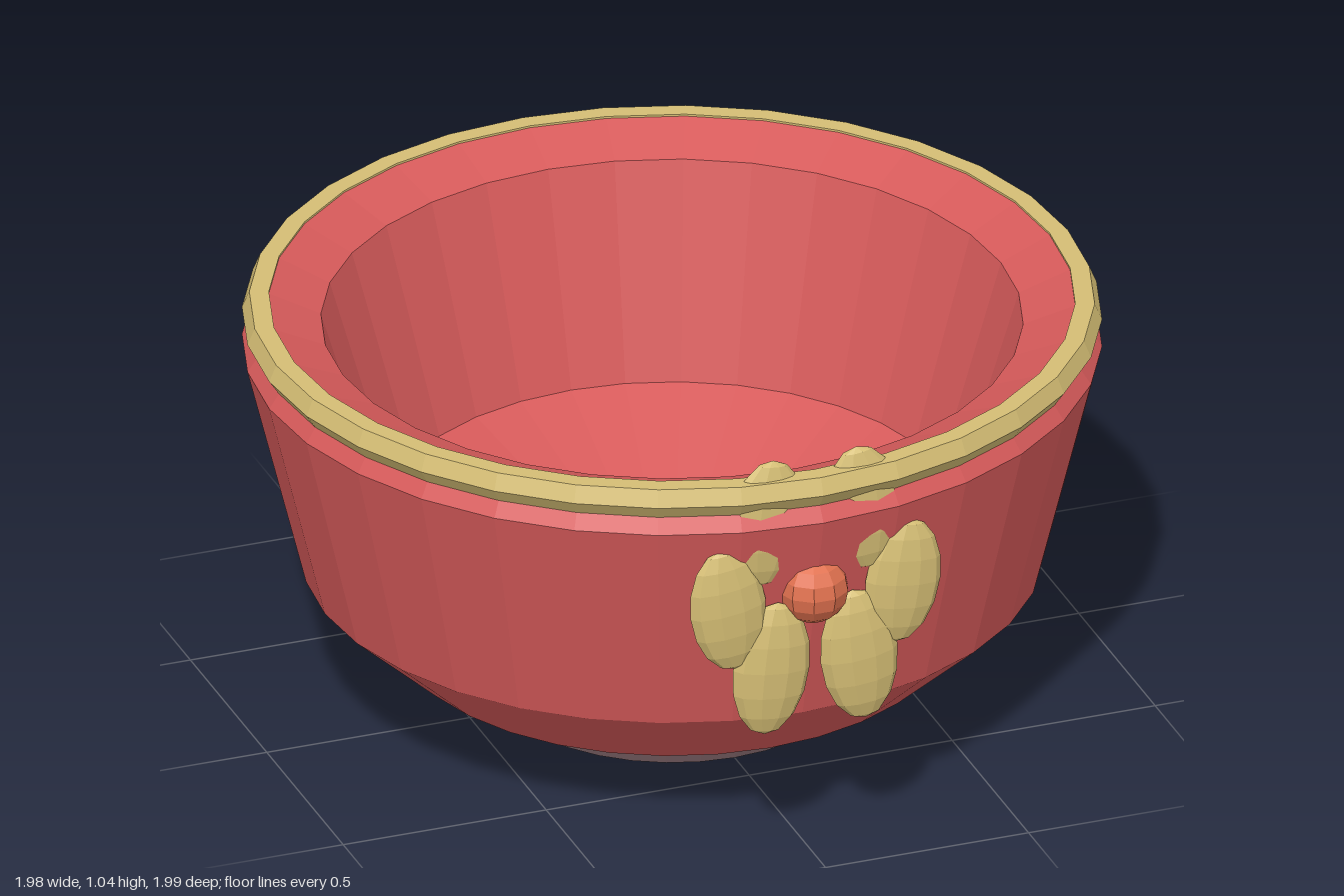
import * as THREE from 'three';

const SIDES = 32;
const material = (color) => new THREE.MeshStandardMaterial({ color, flatShading: true });
const red = material(0xd65a5a);
const gold = material(0xd4bd74);
const orange = material(0xe0714f);
const dark = material(0x6b5458);

function lathe(name, profile, mat) {
  const points = profile.map(([r, y]) => new THREE.Vector2(r, y));
  const mesh = new THREE.Mesh(new THREE.LatheGeometry(points, SIDES), mat);
  mesh.name = name;
  return mesh;
}

function ellipsoid(name, [x, y, z], [sx, sy, sz], tilt, mat) {
  const mesh = new THREE.Mesh(new THREE.SphereGeometry(1, 10, 8), mat);
  mesh.name = name;
  mesh.position.set(x, y, z);
  mesh.scale.set(sx, sy, sz);
  mesh.rotation.z = tilt;
  return mesh;
}

export function createModel() {
  const model = new THREE.Group();
  model.name = 'decoratedBowl';

  // Bowl: outer wall up to the notch, then lip, inner wall and floor
  const bowl = new THREE.Group();
  bowl.name = 'bowl';
  bowl.position.z = -0.005;
  bowl.add(lathe('bowlWall', [
    [0.41, 0.07], [0.64, 0.135], [0.855, 0.33], [0.992, 0.885], [0.968, 0.92],
  ], red));
  bowl.add(lathe('bowlInside', [
    [0.93, 0.99], [0.81, 0.94], [0.66, 0.44], [0.27, 0.27], [0, 0.26],
  ], red));

  // Gold rim band with a bevelled outside edge
  bowl.add(lathe('rim', [
    [0.968, 0.92], [0.992, 0.955], [0.975, 0.995], [0.93, 0.995], [0.93, 0.99],
  ], gold));

  // Foot
  bowl.add(lathe('foot', [[0, 0], [0.41, 0], [0.418, 0.075]], dark));
  model.add(bowl);

  // Flower: three mirrored pairs of petals around a round centre
  const flower = new THREE.Group();
  flower.name = 'flower';
  for (const s of [1, -1]) {
    flower.add(ellipsoid('lowerPetal', [s * 0.108, 0.503, 0.932], [0.095, 0.168, 0.036], s * 0.1, gold));
    flower.add(ellipsoid('sidePetal', [s * 0.215, 0.675, 0.934], [0.093, 0.157, 0.034], s * -0.12, gold));
    flower.add(ellipsoid('upperPetal', [s * 0.118, 0.878, 0.928], [0.095, 0.16, 0.034], s * 0.1, gold));
  }
  flower.add(ellipsoid('flowerCentre', [0, 0.687, 0.915], [0.085, 0.085, 0.085], 0, orange));
  model.add(flower);

  return model;
}
